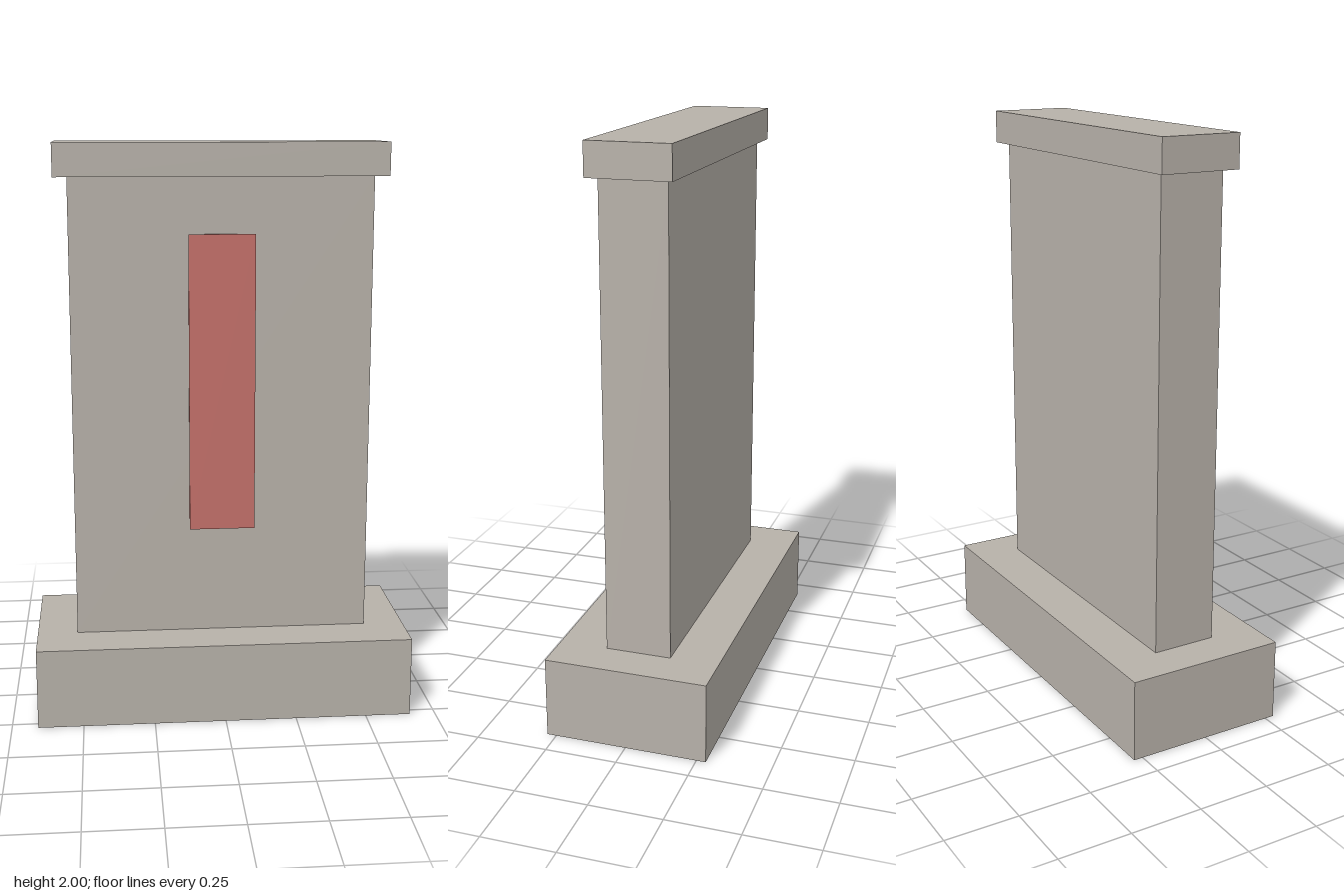
import * as THREE from 'three';

export function createModel() {
  const model = new THREE.Group();
  model.name = 'memorialStone';

  const stone = new THREE.MeshStandardMaterial({ color: 0xb7b1a9 });
  stone.name = 'warm grey stone';
  const red = new THREE.MeshStandardMaterial({ color: 0xc4706a });
  red.name = 'faded red';

  // Adds a box spanning y0..y1, centred on x = 0
  function addBlock(name, width, y0, y1, depth, material, z = 0) {
    const mesh = new THREE.Mesh(new THREE.BoxGeometry(width, y1 - y0, depth), material);
    mesh.name = name;
    mesh.position.set(0, (y0 + y1) / 2, z);
    model.add(mesh);
  }

  addBlock('plinth', 1.318, 0, 0.283, 0.565, stone);
  addBlock('slab', 1.036, 0.283, 1.887, 0.228, stone);
  addBlock('capstone', 1.13, 1.887, 2, 0.283, stone);

  // Thin painted panel on the front face
  addBlock('frontPanel', 0.229, 0.66, 1.695, 0.0095, red, 0.11875);

  return model;
}
